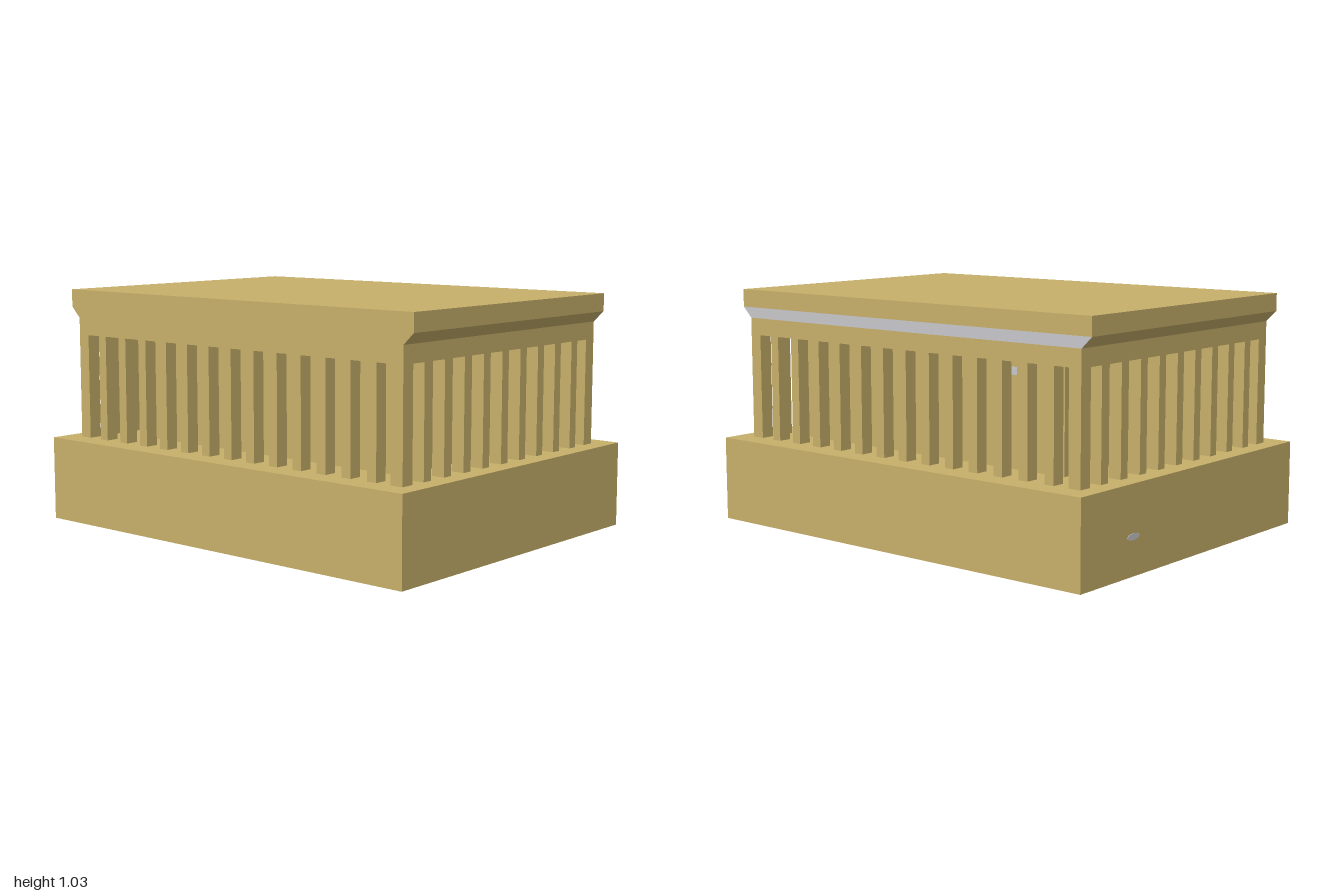
import * as THREE from 'three';

export function createModel() {
  const model = new THREE.Group();
  model.name = 'temple';
  const stone = new THREE.MeshStandardMaterial({ color: 0xc8b06a });
  stone.name = 'sandstone';
  const grey = new THREE.MeshStandardMaterial({ color: 0xc8c8cc });
  grey.name = 'pale grey';

  const add = (name, geometry, material = stone, parent = model) => {
    const mesh = new THREE.Mesh(geometry, material);
    mesh.name = name;
    parent.add(mesh);
    return mesh;
  };
  // Box given by its lower and upper limits on each axis
  const box = (name, [x0, x1], [y0, y1], [z0, z1], parent = model) => {
    const g = new THREE.BoxGeometry(x1 - x0, y1 - y0, z1 - z0);
    g.translate((x0 + x1) / 2, (y0 + y1) / 2, (z0 + z1) / 2);
    return add(name, g, stone, parent);
  };

  const W = 0.668, D = 0.922;             // outer half width and depth of the hall
  const floor = 0.37, lintel = 0.833, eave = 0.908, roof = 0.955, top = 1.033;
  const standing = [floor, lintel];

  // Plinth, inner chamber, beam and roof
  box('plinth', [-0.768, 0.768], [0, floor], [-1, 1]);
  box('innerChamber', [-0.487, 0.505], standing, [-0.72, 0.765]);
  box('entablature', [-W, W], [lintel, eave], [-D, D]);
  box('roofSlab', [-W, W], [roof, top], [-0.97, 0.97]);

  // Flared cornice under the front and back eaves, with one grey end
  const profile = new THREE.Shape([
    new THREE.Vector2(-D, eave), new THREE.Vector2(D, eave),
    new THREE.Vector2(0.97, roof), new THREE.Vector2(-0.97, roof),
  ]);
  const cornice = (name, x0, x1, material) => {
    const g = new THREE.ExtrudeGeometry(profile, { depth: x1 - x0, bevelEnabled: false });
    g.rotateY(Math.PI / 2);
    g.translate(x0, 0, 0);
    add(name, g, material);
  };
  cornice('cornice', -W, W - 0.003, stone);
  cornice('corniceEnd', W - 0.003, W, grey);

  // Colonnade: corner piers, then evenly spaced columns on all four sides
  const colonnade = new THREE.Group();
  colonnade.name = 'colonnade';
  model.add(colonnade);
  const span = (outer, thick, side) => side > 0 ? [outer - thick, outer] : [-outer, thick - outer];
  const half = 0.0225, thick = 0.058;
  for (const s of [-1, 1]) {
    for (const t of [-1, 1]) {
      box('cornerPier', span(W, 0.06, s), standing, span(D, thick, t), colonnade);
    }
    for (let i = -4; i <= 4; i++) {
      const x = i * 0.1288;
      box(s > 0 ? 'frontColumn' : 'backColumn', [x - half, x + half], standing, span(D, thick, s), colonnade);
    }
    for (let i = -6; i <= 6; i++) {
      const z = i * 0.1285;
      box(s > 0 ? 'leftColumn' : 'rightColumn', span(W, thick, s), standing, [z - half, z + half], colonnade);
    }
  }

  // Small grey marks on the chamber wall and the back of the plinth
  const wallMark = add('wallMark', new THREE.BoxGeometry(0.004, 0.032, 0.052), grey);
  wallMark.position.set(0.506, 0.77, -0.458);
  const plinthMark = add('plinthMark', new THREE.CylinderGeometry(1, 1, 0.004, 8), grey);
  plinthMark.rotation.x = Math.PI / 2;
  plinthMark.scale.set(0.042, 1, 0.014);
  plinthMark.position.set(0.43, 0.16, -1);

  return model;
}
